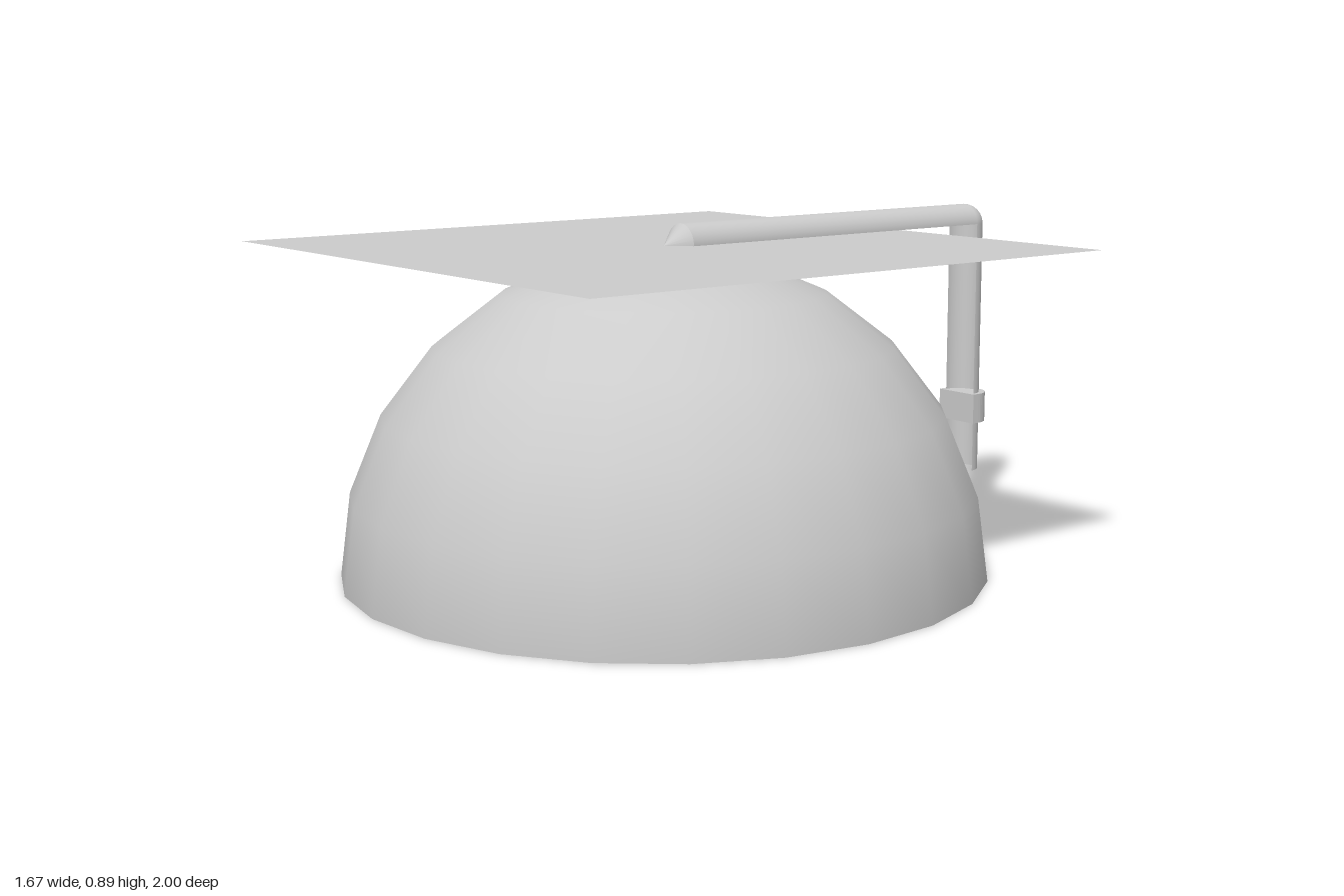
import * as THREE from 'three';

export function createModel() {
  const group = new THREE.Group();
  const material = new THREE.MeshStandardMaterial({ color: 0xcccccc, side: THREE.DoubleSide });
  const add = (name, geometry, x, y, z) => {
    const mesh = new THREE.Mesh(geometry, material);
    mesh.name = name;
    mesh.position.set(x, y, z);
    group.add(mesh);
    return mesh;
  };

  const boardY = 0.84, cordR = 0.055, cordZ = -0.923, tipZ = 0.11;

  // Open dome that sits on the head
  const dome = new THREE.SphereGeometry(0.835, 24, 6, 0, Math.PI * 2, 0, Math.PI / 2);
  dome.rotateY(THREE.MathUtils.degToRad(-3.8));
  add('domeCap', dome, 0, 0, 0.165);

  // Thin square board
  add('board', new THREE.PlaneGeometry(1.56, 1.56).rotateX(-Math.PI / 2), -0.01, boardY, 0.162);

  // Half-round cord pieces, bulging towards -z (towards +y once laid flat)
  const halfRound = (top, bottom, length) =>
    new THREE.CylinderGeometry(top, bottom, length, 12, 1, true, Math.PI / 2, Math.PI);
  const lay = (geometry) => geometry.rotateX(Math.PI / 2);

  const run = tipZ - cordZ;
  add('cordAcross', lay(halfRound(cordR, cordR, run)), 0, boardY, cordZ + run / 2);
  add('cordTip', lay(halfRound(0, cordR, 0.055)), 0, boardY, tipZ + 0.0275);
  add('cordCorner', new THREE.SphereGeometry(cordR, 12, 6, Math.PI, Math.PI, 0, Math.PI / 2),
    0, boardY, cordZ);
  const drop = boardY - 0.12;
  add('cordHanging', halfRound(cordR, cordR, drop), 0, boardY - drop / 2, cordZ);

  // Band around the tassel: a half disc with a short straight back
  const outline = new THREE.Shape();
  outline.moveTo(0.068, -0.02);
  outline.lineTo(0.068, 0);
  outline.absarc(0, 0, 0.068, 0, Math.PI, false);
  outline.lineTo(-0.068, -0.02);
  outline.closePath();
  const band = new THREE.ExtrudeGeometry(outline, { depth: 0.085, bevelEnabled: false, curveSegments: 12 });
  add('tasselBand', band.rotateX(-Math.PI / 2), 0, 0.263, -0.93);

  return group;
}
